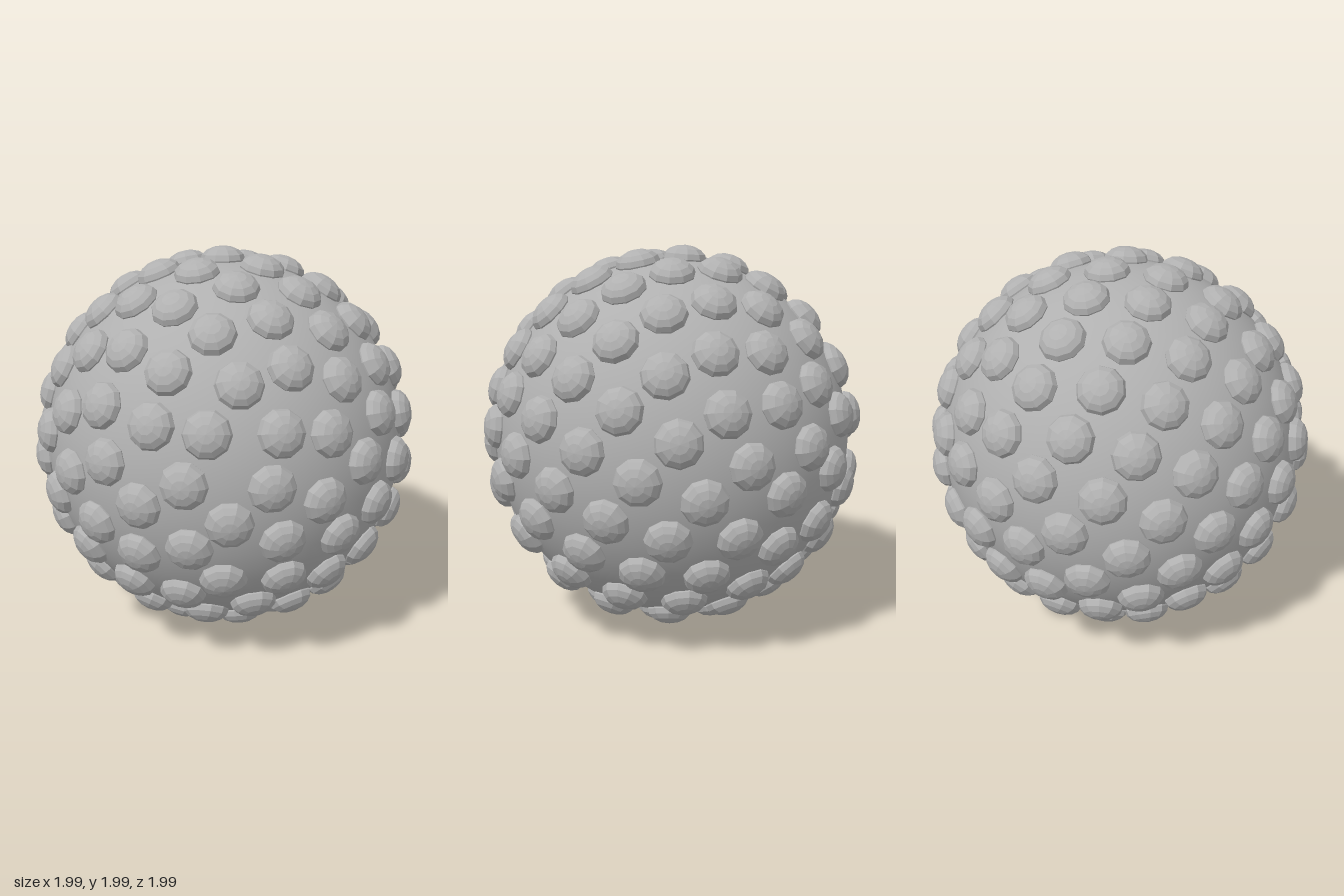
import * as THREE from 'three';

const BALL_RADIUS = 0.93;
const STUD_COUNT = 150;
const STUD_RADIUS = 0.115;
const STUD_HEIGHT = 0.071;

// Evenly spread unit directions on a golden-angle spiral running from +z to -z
function spiralDirection(i, count) {
  const k = i + 0.5;
  const polar = Math.acos(1 - (2 * k) / count);
  const turn = Math.PI * (1 + Math.sqrt(5)) * k;
  return new THREE.Vector3(
    Math.cos(turn) * Math.sin(polar),
    Math.sin(turn) * Math.sin(polar),
    Math.cos(polar)
  );
}

export function createModel() {
  const model = new THREE.Group();
  model.name = 'studdedBall';

  const grey = new THREE.MeshStandardMaterial({ color: 0xb0b0b0 });
  grey.name = 'grey';
  // Same grey, faceted for the low-poly studs
  const greyFaceted = grey.clone();
  greyFaceted.name = 'grey faceted';
  greyFaceted.flatShading = true;

  // Smooth core
  const ball = new THREE.Mesh(new THREE.SphereGeometry(BALL_RADIUS, 64, 32), grey);
  ball.name = 'ball';
  ball.position.y = 1;
  model.add(ball);

  // Flattened ten-sided domes, pole facing outwards along +z
  const studGeometry = new THREE.SphereGeometry(STUD_RADIUS, 10, 8);
  studGeometry.rotateX(Math.PI / 2);
  studGeometry.scale(1, 1, STUD_HEIGHT / STUD_RADIUS);

  const studs = new THREE.Group();
  studs.name = 'studs';
  studs.position.y = 1;
  const outward = new THREE.Vector3(0, 0, 1);
  for (let i = 0; i < STUD_COUNT; i++) {
    const direction = spiralDirection(i, STUD_COUNT);
    const stud = new THREE.Mesh(studGeometry, greyFaceted);
    stud.name = 'stud';
    stud.position.copy(direction).multiplyScalar(BALL_RADIUS);
    stud.quaternion.setFromUnitVectors(outward, direction);
    studs.add(stud);
  }
  model.add(studs);

  return model;
}
